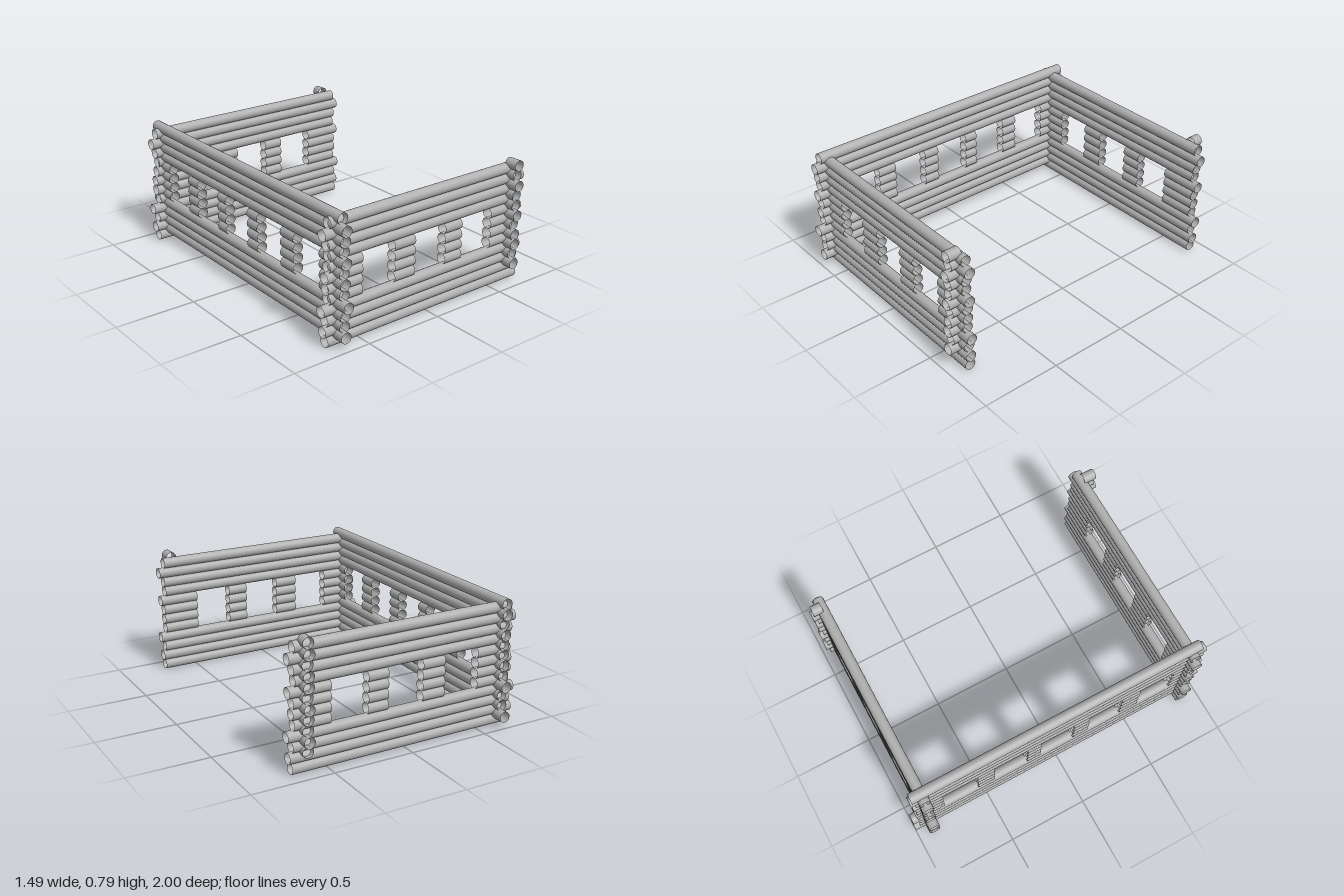
import * as THREE from 'three';

const R = 0.0335;
const logMaterial = new THREE.MeshStandardMaterial({ color: 0xb0b0b0, side: THREE.DoubleSide });
logMaterial.name = 'log grey';

// One hollow round log between a and b along the x or z axis
function log(name, axis, a, b, y, across) {
  const geo = new THREE.CylinderGeometry(R, R, Math.abs(b - a), 20, 1, true);
  if (axis === 'x') geo.rotateZ(Math.PI / 2);
  else geo.rotateX(Math.PI / 2);
  const mesh = new THREE.Mesh(geo, logMaterial);
  mesh.name = name;
  const mid = (a + b) / 2;
  if (axis === 'x') mesh.position.set(mid, y, across);
  else mesh.position.set(across, y, mid);
  return mesh;
}

// A wall of 12 rows; rows 4 to 7 are cut into short pieces by the windows
function wall(name, axis, across, y0, step, ends, openings) {
  const group = new THREE.Group();
  group.name = name;
  ends.forEach(([lo, hi], i) => {
    const y = y0 + step * i;
    if (i < 4 || i > 7) {
      group.add(log('longLog', axis, lo, hi, y, across));
      return;
    }
    let start = lo;
    for (const [from, to] of openings) {
      group.add(log('windowLog', axis, start, from, y, across));
      start = to;
    }
    group.add(log('windowLog', axis, start, hi, y, across));
  });
  return group;
}

// Column of short log ends crossing the free end of a wall
function stubs(name, x, inner, outer) {
  const group = new THREE.Group();
  group.name = name;
  for (let i = 1; i < 12; i++) {
    const jitter = 0.012 * Math.sin(i * 2.3);
    group.add(log('stubLog', 'z', inner, outer + jitter, 0.072 + 0.0619 * i, x));
  }
  return group;
}

export function createModel() {
  const model = new THREE.Group();
  model.name = 'logWalls';

  const frontEnds = [
    [-0.72, 0.72], [-0.735, 0.73], [-0.72, 0.715], [-0.745, 0.74],
    [-0.705, 0.705], [-0.715, 0.71], [-0.72, 0.71], [-0.705, 0.73],
    [-0.70, 0.70], [-0.71, 0.705], [-0.735, 0.735], [-0.70, 0.70],
  ];
  const backEnds = frontEnds.map(([lo, hi], i) => [lo - 0.004 * (i % 2), hi + 0.004 * (i % 2)]);
  const sideEnds = [
    [-1.0, 0.98], [-0.965, 0.965], [-0.96, 0.97], [-1.0, 1.0],
    [-0.965, 0.96], [-0.97, 0.97], [-0.96, 0.96], [-0.96, 0.98],
    [-0.97, 0.96], [-0.95, 0.97], [-0.975, 0.98], [-0.965, 0.945],
  ];
  const shortOpenings = [[-0.48, -0.255], [-0.105, 0.12], [0.25, 0.48]];
  const longOpenings = [
    [-0.785, -0.555], [-0.445, -0.22], [-0.13, 0.095], [0.20, 0.425], [0.55, 0.78],
  ];

  // Front and back walls, and the long side wall half a log higher
  model.add(wall('frontWall', 'x', 0.883, 0.0335, 0.0627, frontEnds, shortOpenings));
  model.add(wall('backWall', 'x', -0.898, 0.0335, 0.0627, backEnds, shortOpenings));
  model.add(wall('rightWall', 'z', -0.643, 0.072, 0.0619, sideEnds, longOpenings));

  // Crossing log ends at the open side
  model.add(stubs('frontStubs', 0.637, 0.885, 0.965));
  model.add(stubs('backStubs', 0.637, -0.9, -0.965));
  return model;
}
